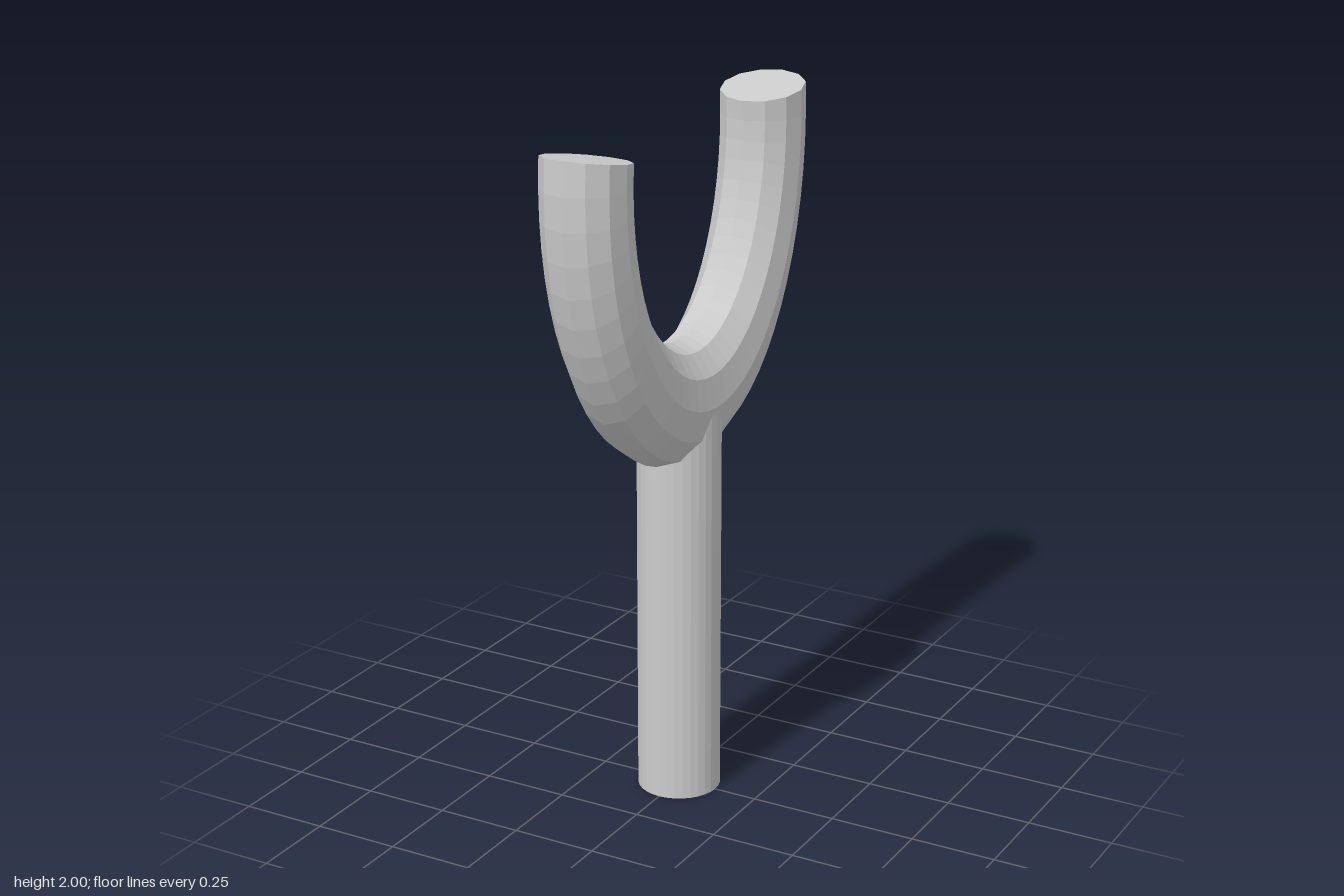
import * as THREE from 'three';

const RING = 0.49;      // arc radius before the vertical stretch
const TUBE = 0.122;     // tube radius
const SIDES = 12;       // sides round the fork tube
const OVER = THREE.MathUtils.degToRad(7); // how far each prong passes the half circle
const STRETCH = 1.45;   // vertical stretch of the fork
const CENTRE_Y = 1.89;

export function createModel() {
  const model = new THREE.Group();
  const material = new THREE.MeshStandardMaterial({ color: 0xcccccc, flatShading: true });

  const add = (name, geometry) => {
    const mesh = new THREE.Mesh(geometry, material);
    mesh.name = name;
    model.add(mesh);
  };

  // Turn a part from the XY plane into the ZY plane, stretch it and lift it
  const placeOnFork = (geometry) =>
    geometry.rotateY(Math.PI / 2).scale(1, STRETCH, 1).translate(0, CENTRE_Y, 0);

  // Round upright handle
  add('handle', new THREE.CylinderGeometry(0.12, 0.12, 1.18, 32).translate(0, 0.59, 0));

  // U-shaped fork: a stretched arc slightly longer than a half circle
  const arc = new THREE.TorusGeometry(RING, TUBE, SIDES, 32, Math.PI + 2 * OVER);
  add('fork', placeOnFork(arc.rotateZ(Math.PI - OVER)));

  // Tilted flat ends of the two prongs
  for (const [name, turn] of [['backProngEnd', 0], ['frontProngEnd', Math.PI]]) {
    const cap = new THREE.CircleGeometry(TUBE, SIDES)
      .rotateX(-Math.PI / 2)
      .translate(RING, 0, 0)
      .rotateZ(OVER)
      .rotateY(turn);
    add(name, placeOnFork(cap));
  }

  return model;
}
